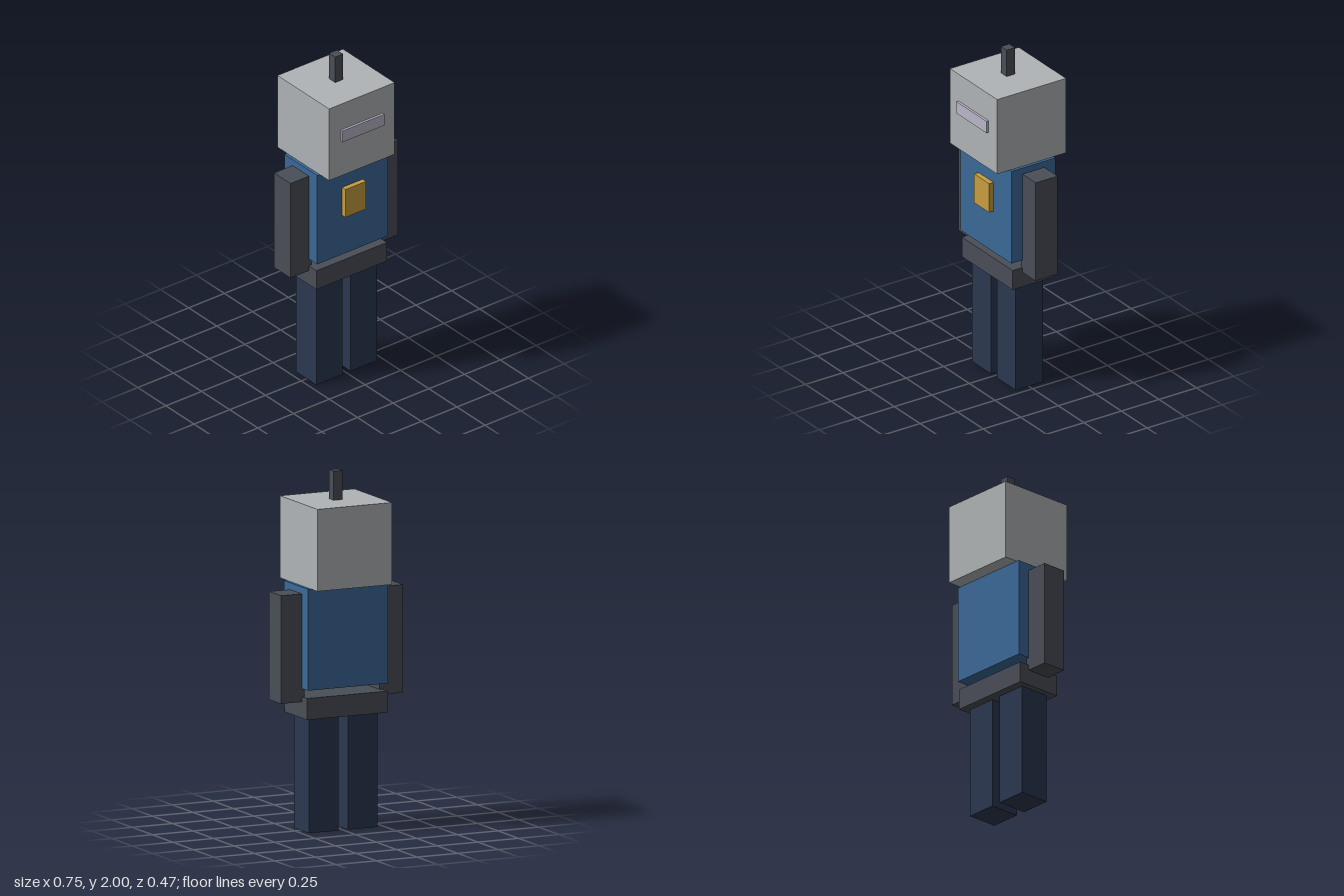
import * as THREE from 'three';

const makeMaterial = (name, color) => {
  const m = new THREE.MeshStandardMaterial({ color });
  m.name = name;
  return m;
};

export function createModel() {
  const robot = new THREE.Group();
  robot.name = 'blockRobot';

  const lightGrey = makeMaterial('lightGrey', 0xb0b4b6);
  const darkGrey = makeMaterial('darkGrey', 0x4a4e57);
  const blue = makeMaterial('blue', 0x3b6998);
  const navy = makeMaterial('navy', 0x2b3850);
  const gold = makeMaterial('gold', 0xc89f40);
  const lavender = makeMaterial('lavender', 0xbab6ca);

  // Box given by its centre x, width, and its y and z ranges
  const block = (name, material, x, width, [y0, y1], [z0, z1]) => {
    const mesh = new THREE.Mesh(new THREE.BoxGeometry(width, y1 - y0, z1 - z0), material);
    mesh.name = name;
    mesh.position.set(x, (y0 + y1) / 2, (z0 + z1) / 2);
    robot.add(mesh);
  };

  // Head, visor and antenna
  block('head', lightGrey, 0, 0.459, [1.378, 1.837], [-0.237, 0.222]);
  block('visor', lavender, 0, 0.293, [1.6, 1.672], [0.2, 0.236]);
  block('antenna', darkGrey, 0, 0.055, [1.83, 2], [-0.035, 0.02]);

  // Torso with chest badge, and the separate hip block below it
  block('torso', blue, 0, 0.494, [0.81, 1.378], [-0.154, 0.139]);
  block('chestBadge', gold, 0, 0.145, [1.06, 1.238], [0.13, 0.168]);
  block('hips', darkGrey, 0, 0.494, [0.645, 0.765], [-0.145, 0.131]);

  // Arms and legs, mirrored
  for (const [side, s] of [['left', 1], ['right', -1]]) {
    block(side + 'Arm', darkGrey, s * 0.303, 0.145, [0.735, 1.34], [-0.081, 0.065]);
    block(side + 'Leg', navy, s * 0.12, 0.183, [0, 0.65], [-0.097, 0.086]);
  }

  return robot;
}
